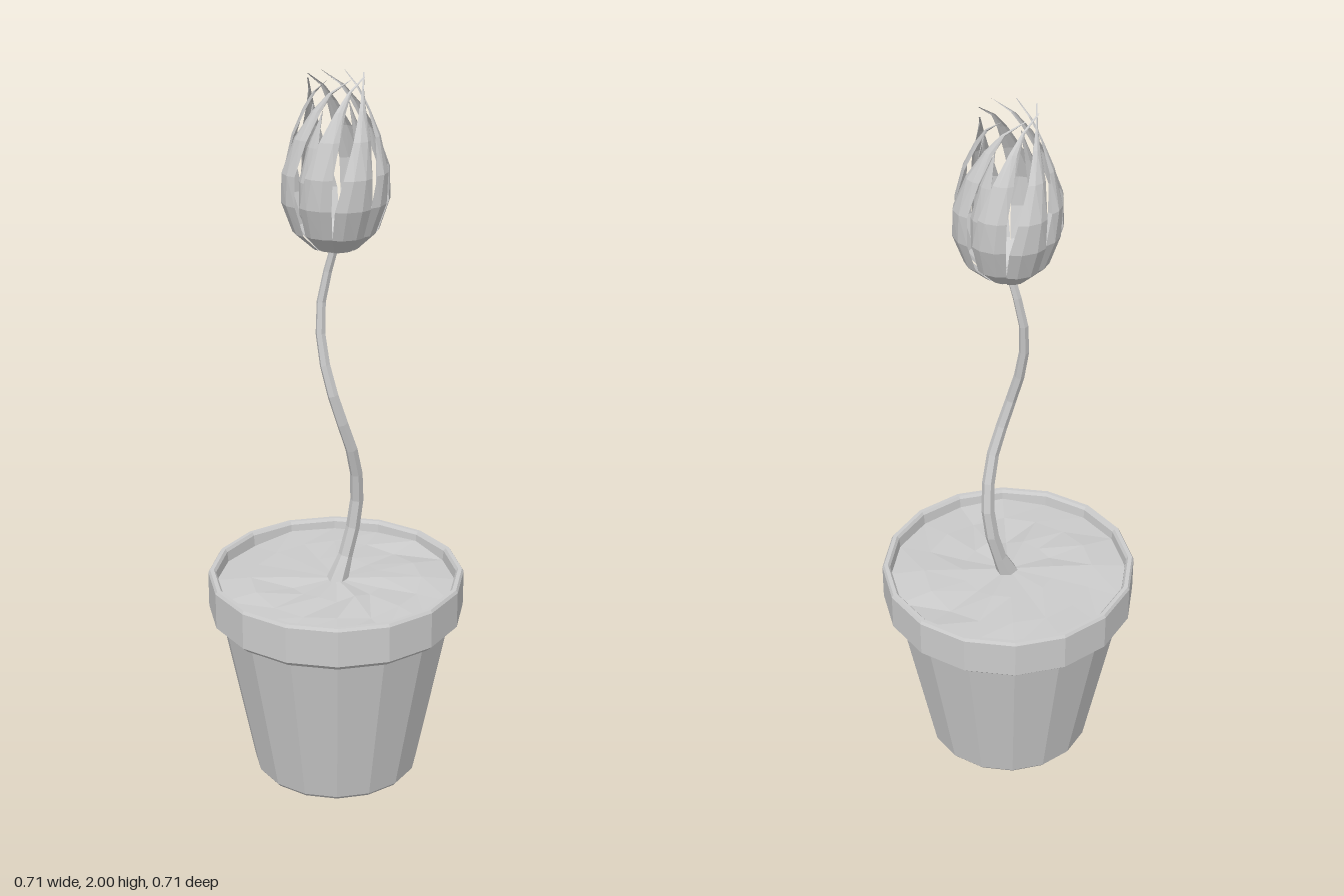
import * as THREE from 'three';

const SIDES = 16;
const TURN = 0.098; // rotation of the pot's facets
const solid = new THREE.MeshStandardMaterial({ color: 0xcccccc, flatShading: true });
const thin = new THREE.MeshStandardMaterial({ color: 0xcccccc, flatShading: true, side: THREE.DoubleSide });

function add(parent, name, geometry, material = solid) {
  const mesh = new THREE.Mesh(geometry, material);
  mesh.name = name;
  parent.add(mesh);
  return mesh;
}

function lathe(points) {
  return new THREE.LatheGeometry(points.map(p => new THREE.Vector2(p[0], p[1])), SIDES, TURN);
}

// Grid of points fn(u index, v index) joined into a surface
function gridSurface(rows, cols, fn) {
  const pos = [], idx = [];
  for (let i = 0; i < rows; i++)
    for (let j = 0; j < cols; j++) pos.push(...fn(i, j));
  for (let i = 0; i < rows - 1; i++)
    for (let j = 0; j < cols - 1; j++) {
      const a = i * cols + j, b = a + cols;
      idx.push(a, a + 1, b, b, a + 1, b + 1);
    }
  const g = new THREE.BufferGeometry();
  g.setAttribute('position', new THREE.Float32BufferAttribute(pos, 3));
  g.setIndex(idx);
  g.computeVertexNormals();
  return g;
}

// Uneven soil: a disc whose inner rings are nudged up and down
function soilGeometry() {
  let seed = 7;
  const rand = () => (seed = (seed * 16807) % 2147483647) / 2147483647;
  const radii = [0, 0.13, 0.24, 0.337];
  const bumps = radii.map((r, i) => Array.from({ length: SIDES }, () => i === 0 ? 0 : (rand() - 0.5) * 0.016));
  return gridSurface(radii.length, SIDES + 1, (i, j) => {
    const a = TURN + (j / SIDES) * Math.PI * 2;
    const y = 0.592 - 0.006 * i / 3 + bumps[i][j % SIDES];
    return [radii[i] * Math.sin(a), y, radii[i] * Math.cos(a)];
  });
}

// Tapered stem swept along a bending path, flared where it meets the soil
function stemGeometry() {
  const path = new THREE.CatmullRomCurve3([
    [0, 0.575, 0], [0.015, 0.62, -0.015], [0.048, 0.76, -0.037], [0.056, 0.87, -0.028],
    [0.042, 0.99, 0.006], [0, 1.13, 0.03], [-0.037, 1.28, 0.013], [-0.041, 1.39, -0.003],
    [-0.022, 1.49, -0.006], [0, 1.57, 0],
  ].map(p => new THREE.Vector3(...p)));
  const segs = 12, sides = 6;
  const g = new THREE.TubeGeometry(path, segs, 1, sides, false);
  const p = g.attributes.position, v = new THREE.Vector3();
  for (let i = 0; i < p.count; i++) {
    const t = Math.floor(i / (sides + 1)) / segs;
    const c = path.getPointAt(t);
    const r = t === 0 ? 0.032 : 0.021 - 0.01 * t;
    v.fromBufferAttribute(p, i).sub(c).multiplyScalar(r).add(c);
    p.setXYZ(i, v.x, v.y, v.z);
  }
  g.computeVertexNormals();
  return g;
}

// Petal cross-sections: height, radius, half width (radians), twist (radians)
const OUTER = [
  [1.55, 0.025, 0.4, 0], [1.555, 0.062, 0.4, 0], [1.6, 0.112, 0.39, 0], [1.68, 0.141, 0.36, 0.03],
  [1.76, 0.143, 0.29, 0.12], [1.85, 0.118, 0.24, 0.32], [1.92, 0.087, 0.17, 0.62],
  [1.965, 0.07, 0.09, 1.05], [2.0, 0.08, 0, 1.75],
];
const INNER = [
  [1.555, 0.02, 0.4, 0], [1.58, 0.07, 0.4, 0], [1.65, 0.106, 0.36, 0],
  [1.74, 0.112, 0.28, 0.05], [1.83, 0.095, 0.2, 0.15], [1.92, 0.07, 0, 0.35],
];

function petalGeometry(sections, scale) {
  const across = [-1, -0.4, 0.4, 1];
  return gridSurface(sections.length, across.length, (i, j) => {
    const [y, r, half, twist] = sections[i];
    const a = twist + across[j] * half;
    const rad = r * scale * (Math.abs(across[j]) === 1 ? 0.95 : 1);
    return [rad * Math.sin(a), y, rad * Math.cos(a)];
  });
}

export function createModel() {
  const model = new THREE.Group();
  model.name = 'pottedFlower';

  // Pot with a thick rim, traced from the base centre up and over the lip
  const pot = new THREE.Group();
  pot.name = 'pot';
  model.add(pot);
  add(pot, 'potWall', lathe([
    [0, 0], [0.08, 0.004], [0.228, 0.012], [0.236, 0.022], [0.328, 0.49],
    [0.342, 0.492], [0.359, 0.508], [0.359, 0.612], [0.354, 0.62], [0.343, 0.62], [0.337, 0.612], [0.33, 0.54],
  ]), thin);
  add(pot, 'soil', soilGeometry(), thin);

  add(model, 'stem', stemGeometry(), thin);

  // Flower: eight twisted outer petals around four shorter inner ones
  const flower = new THREE.Group();
  flower.name = 'flower';
  model.add(flower);
  const outerWide = petalGeometry(OUTER, 1.02), outerTucked = petalGeometry(OUTER, 0.96);
  for (let i = 0; i < 8; i++) {
    const petal = add(flower, 'outerPetal', i % 2 ? outerTucked : outerWide, thin);
    petal.rotation.y = (i + 0.5) * Math.PI / 4;
  }
  const inner = petalGeometry(INNER, 1);
  for (let i = 0; i < 4; i++) {
    const petal = add(flower, 'innerPetal', inner, thin);
    petal.rotation.y = (i + 0.5) * Math.PI / 2;
  }

  // Small knob joining stem and petals
  const knob = add(flower, 'flowerBase', new THREE.CylinderGeometry(0.03, 0.014, 0.025, 6));
  knob.position.y = 1.552;
  return model;
}
